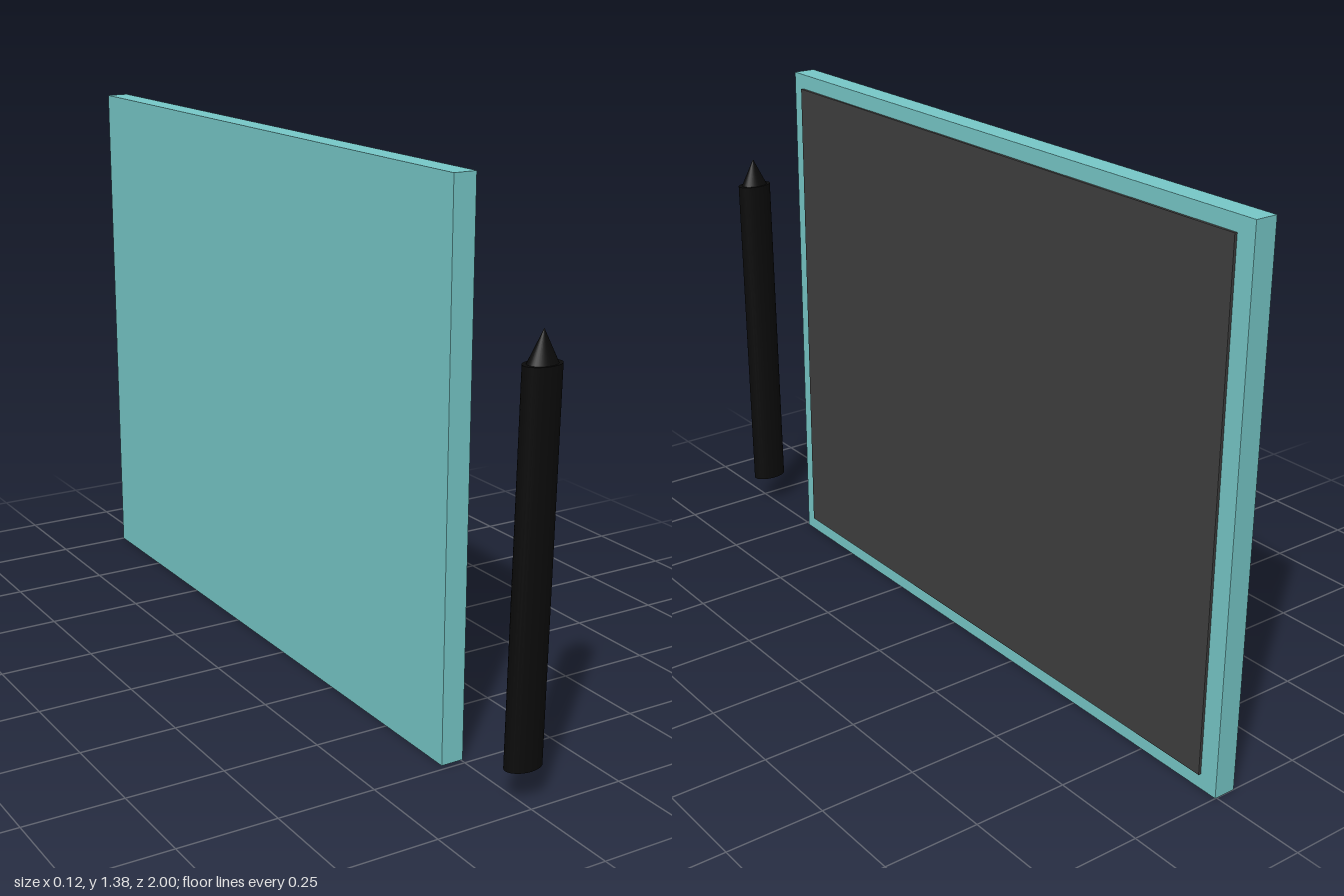
import * as THREE from 'three';

function addMesh(parent, name, geometry, color, x, y, z) {
  const mesh = new THREE.Mesh(geometry, new THREE.MeshStandardMaterial({ color }));
  mesh.name = name;
  mesh.position.set(x, y, z);
  parent.add(mesh);
  return mesh;
}

export function createModel() {
  const model = new THREE.Group();
  model.name = 'tabletAndStylus';

  // Upright tablet facing +x, leaning back very slightly
  const tablet = new THREE.Group();
  tablet.name = 'tablet';
  tablet.rotation.z = 0.005;
  addMesh(tablet, 'tabletBody', new THREE.BoxGeometry(0.059, 1.378, 1.735), 0x78caca, -0.025, 0.69, -0.1325);
  addMesh(tablet, 'screen', new THREE.BoxGeometry(0.02, 1.3, 1.645), 0x404040, 0.0015, 0.69, -0.1275);
  model.add(tablet);

  // Oval stylus standing in front of the tablet, leaning a little to +z
  const stylus = new THREE.Group();
  stylus.name = 'stylus';
  stylus.position.set(0.006, 0.086, 0.957);
  stylus.rotation.x = 0.014;
  const barrelHeight = 0.925, tipHeight = 0.075;
  const barrel = new THREE.CylinderGeometry(0.049, 0.049, barrelHeight, 32).scale(1, 1, 0.64);
  addMesh(stylus, 'stylusBarrel', barrel, 0x0b0b0b, 0, barrelHeight / 2, 0);
  const tip = new THREE.ConeGeometry(0.038, tipHeight, 32).scale(1, 1, 0.7);
  addMesh(stylus, 'stylusTip', tip, 0x0b0b0b, 0, barrelHeight + tipHeight / 2, 0);
  model.add(stylus);

  return model;
}
